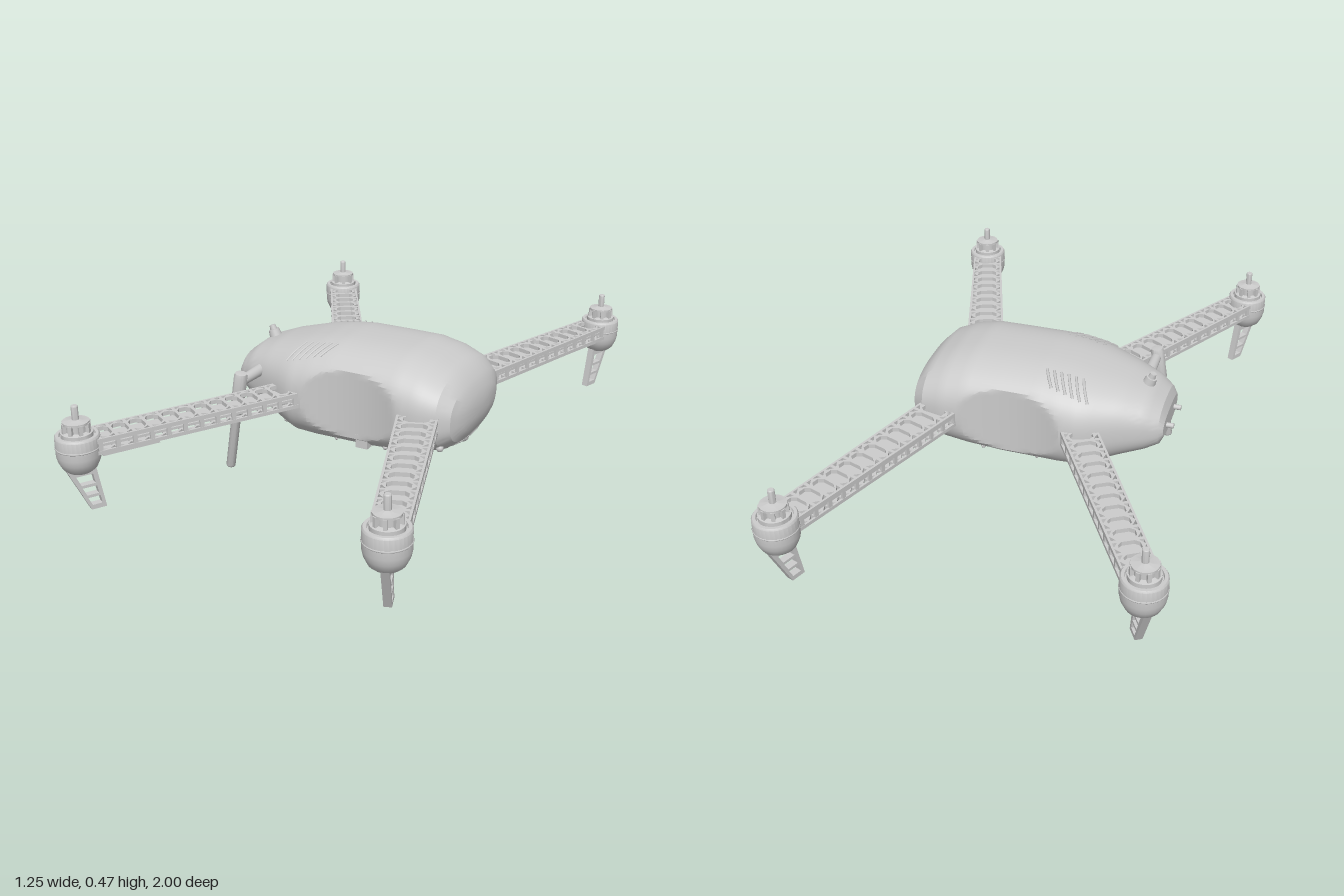
import * as THREE from 'three';
import { toCreasedNormals } from 'three/addons/utils/BufferGeometryUtils.js';

const grey = new THREE.MeshStandardMaterial({ color: 0xcccccc });

function add(parent, name, geometry, x = 0, y = 0, z = 0) {
  const m = new THREE.Mesh(geometry, grey);
  m.name = name;
  m.position.set(x, y, z);
  parent.add(m);
  return m;
}
const V = (x, y, z = 0) => new THREE.Vector3(x, y, z);
const P = (pts) => pts.map(([x, y]) => new THREE.Vector2(x, y));

// Hull stations: x, half width, bottom, top
const stations = [
  [-0.44, 0.001, 0.284, 0.286], [-0.44, 0.115, 0.25, 0.325], [-0.425, 0.13, 0.215, 0.36],
  [-0.38, 0.155, 0.19, 0.395], [-0.3, 0.19, 0.162, 0.425], [-0.2, 0.235, 0.125, 0.45],
  [-0.17, 0.245, 0.115, 0.457], [-0.1, 0.25, 0.112, 0.47], [-0.03, 0.25, 0.112, 0.477],
  [0.1, 0.25, 0.113, 0.477], [0.22, 0.25, 0.122, 0.475], [0.3, 0.247, 0.136, 0.456],
  [0.37, 0.232, 0.16, 0.425], [0.41, 0.2, 0.19, 0.385], [0.43, 0.14, 0.225, 0.345],
  [0.438, 0.06, 0.26, 0.31], [0.439, 0.001, 0.284, 0.286],
];

// Point on a rounded section; the waist is cut back to form the side panels
function section([x, w, lo, hi], a) {
  const r = (v) => Math.sign(v) * Math.abs(v) ** (2 / 2.6);
  const limit = 0.214 + 1.1 * (x - 0.06) ** 2;
  const z = THREE.MathUtils.clamp(w * r(Math.cos(a)), -limit, limit);
  return V(x, (lo + hi) / 2 + ((hi - lo) / 2) * r(Math.sin(a)), z);
}
function stationAt(x) {
  const i = Math.max(1, stations.findIndex((s) => s[0] >= x));
  const A = stations[i - 1], B = stations[i];
  return A.map((v, k) => v + ((B[k] - v) * (x - A[0])) / (B[0] - A[0] || 1));
}
const surface = (x, a) => section(stationAt(x), a);

function hullGeometry() {
  const rows = [], N = 72, pos = [], index = [];
  stations.forEach((s, i) => {
    rows.push(s);
    const next = stations[i + 1];
    if (!next) return;
    const cuts = Math.ceil((next[0] - s[0]) / 0.02);
    for (let k = 1; k < cuts; k++) rows.push(s.map((v, c) => v + ((next[c] - v) * k) / cuts));
  });
  rows.forEach((row, i) => {
    for (let j = 0; j < N; j++) {
      pos.push(...section(row, (j / N) * Math.PI * 2).toArray());
      if (i === rows.length - 1) continue;
      const a = i * N + j, b = i * N + ((j + 1) % N);
      index.push(a, a + N, b + N, a, b + N, b);
    }
  });
  const g = new THREE.BufferGeometry();
  g.setAttribute('position', new THREE.Float32BufferAttribute(pos, 3));
  g.setIndex(index);
  return toCreasedNormals(g, 0.4);
}

const tube = (pts, r, closed = false) =>
  new THREE.TubeGeometry(new THREE.CatmullRomCurve3(pts, closed), closed ? 40 : 10, r, 6, closed);

function buildBody() {
  const body = new THREE.Group();
  body.name = 'body';
  add(body, 'hull', hullGeometry());

  // Slanted cooling slots on both shoulders
  for (const s of [1, -1])
    for (let i = 0; i < 6; i++) {
      const pts = [0, 0.33, 0.66, 1].map((t) => {
        const p = surface(-0.2 + i * 0.025 + t * 0.035, 0.68 + i * 0.03 + t * (0.5 - i * 0.03));
        return V(p.x, p.y, p.z * s);
      });
      add(body, 'shoulderVent', tube(pts, 0.005));
    }
  // Slots across the belly
  for (let i = 0; i < 7; i++)
    for (const c of [-1.25, -1.89])
      add(body, 'bellyVent', tube([-0.2, 0, 0.2].map((d) => surface(-0.15 + i * 0.022, c + d)), 0.004));

  // Camera window under the nose
  const win = [[0.35, -1.8], [0.35, -1.34], [0.395, -1.3], [0.395, -1.84]];
  add(body, 'cameraFrame', tube(win.map(([x, a]) => surface(x, a)), 0.005, true));
  add(body, 'cameraLens', new THREE.SphereGeometry(0.018, 20, 12)).position.copy(surface(0.375, -Math.PI / 2));

  // Sensors and screw heads
  for (const s of [1, -1])
    for (const [x, a, r] of [[0.37, -0.72, 0.013], [0.17, -0.85, 0.009], [-0.02, -0.9, 0.007], [-0.23, -0.9, 0.009], [0.28, -1.1, 0.009], [-0.3, -1.2, 0.008]]) {
      const p = surface(x, a);
      add(body, 'sensor', new THREE.SphereGeometry(r, 12, 8), p.x, p.y, p.z * s);
    }

  // Side latch
  add(body, 'latch', new THREE.BoxGeometry(0.045, 0.045, 0.03), 0.095, 0.168, 0.197);
  add(body, 'latchLip', new THREE.BoxGeometry(0.055, 0.008, 0.034), 0.095, 0.19, 0.198);

  // Button on the rear deck
  const button = new THREE.Group();
  button.name = 'deckButton';
  button.position.set(-0.362, 0.405, 0);
  button.rotation.z = 0.35;
  add(button, 'buttonBase', new THREE.CylinderGeometry(0.019, 0.022, 0.024, 20), 0, 0.008, 0);
  add(button, 'buttonCap', new THREE.CylinderGeometry(0.011, 0.013, 0.018, 16), 0, 0.027, 0);
  body.add(button);

  // Rear sockets
  for (const z of [-0.06, 0.055])
    add(body, 'rearSocket', new THREE.CylinderGeometry(0.009, 0.009, 0.03, 14).rotateZ(Math.PI / 2), -0.45, 0.285, z);
  return body;
}

const lathe = (pts, seg = 32) => toCreasedNormals(new THREE.LatheGeometry(P(pts), seg), 0.6);

// Flat shape in (length, width) raised to a plate
function plate(shape, thickness) {
  return new THREE.ExtrudeGeometry(shape, { depth: thickness, bevelEnabled: false }).rotateX(-Math.PI / 2);
}

function latticeShape(L, w0, w1) {
  const u0 = -0.06, u1 = L - 0.035;
  const hw = (u) => w0 + ((w1 - w0) * (u - u0)) / (u1 - u0);
  const shape = new THREE.Shape(P([[u0, -w0], [u1, -w1], [u1, w1], [u0, w0]]));
  const n = Math.round((u1 - u0) / 0.058), pitch = (u1 - u0 - 0.03) / n;
  for (let i = 0; i < n; i++) {
    const c = u0 + 0.01 + (i + 0.5) * pitch, w = hw(c), d = pitch * 0.4;
    // Elongated hexagon in the middle, a triangle pair along each edge
    shape.holes.push(new THREE.Path(P([[c - d, -w * 0.36], [c - d * 0.5, -w * 0.62], [c + d * 0.5, -w * 0.62],
      [c + d, -w * 0.36], [c + d, w * 0.36], [c + d * 0.5, w * 0.62], [c - d * 0.5, w * 0.62], [c - d, w * 0.36]])));
    for (const s of [1, -1]) {
      shape.holes.push(new THREE.Path(P([[c - d, s * w * 0.87], [c - d * 0.1, s * w * 0.87], [c - d, s * w * 0.6]])));
      shape.holes.push(new THREE.Path(P([[c + d, s * w * 0.87], [c + d * 0.1, s * w * 0.87], [c + d, s * w * 0.6]])));
    }
  }
  return { shape, n, pitch, u0, hw };
}

// Ladder-like landing leg lying in the plane of the arm
function legGeometry() {
  const edge = (t, k) => {
    const inner = -0.045 - 0.025 * t, outer = 0.05 - 0.07 * t;
    return [inner + (outer - inner) * k, 0.215 - 0.155 * t];
  };
  const shape = new THREE.Shape(P([edge(0, 0), edge(1, 0), edge(1, 1), edge(0, 1)]));
  for (const [a, b] of [[0.2, 0.42], [0.48, 0.66], [0.72, 0.9]])
    shape.holes.push(new THREE.Path(P([edge(a, 0.18), edge(b, 0.2), edge(b, 0.8), edge(a, 0.82)])));
  const depth = 0.024;
  return new THREE.ExtrudeGeometry(shape, { depth, bevelEnabled: false }).translate(0, 0, -depth / 2);
}

function buildArm(name, root, tip, w0, w1) {
  const arm = new THREE.Group();
  arm.name = name;
  const dx = tip[0] - root[0], dz = tip[1] - root[1], L = Math.hypot(dx, dz);
  arm.position.set(root[0], 0, root[1]);
  arm.rotation.y = Math.atan2(-dz, dx);

  // Truss: two lattice plates, a floor between them and posts along the edges
  const { shape, n, pitch, u0, hw } = latticeShape(L, w0, w1);
  add(arm, 'topLattice', plate(shape, 0.014), 0, 0.301, 0);
  add(arm, 'bottomLattice', plate(shape, 0.012), 0, 0.262, 0);
  const floor = new THREE.Shape(P([[u0, -w0 * 0.8], [L - 0.04, -w1 * 0.8], [L - 0.04, w1 * 0.8], [u0, w0 * 0.8]]));
  add(arm, 'armFloor', plate(floor, 0.008), 0, 0.284, 0);
  for (let i = 0; i <= n; i++)
    for (const s of [1, -1]) {
      const u = u0 + 0.01 + i * pitch;
      add(arm, 'edgePost', new THREE.BoxGeometry(0.014, 0.03, 0.008), u, 0.286, s * (hw(u) - 0.005));
    }
  add(arm, 'cableCover', new THREE.BoxGeometry(0.19, 0.016, 0.07), L - 0.16, 0.254, 0);

  // Motor pod with leg
  const pod = new THREE.Group();
  pod.name = 'motorPod';
  pod.position.x = L;
  add(pod, 'podShell', lathe([[0, 0.203], [0.04, 0.203], [0.054, 0.215], [0.066, 0.24], [0.07, 0.26], [0.07, 0.32],
    [0.066, 0.326], [0.056, 0.326], [0.054, 0.318], [0, 0.318]]));
  add(pod, 'podBand', new THREE.TorusGeometry(0.069, 0.003, 6, 36).rotateX(Math.PI / 2), 0, 0.285, 0);
  add(pod, 'landingLeg', legGeometry());

  // Motor: hub, cooling ribs, cap and shaft
  add(pod, 'motorHub', lathe([[0.05, 0.316], [0.05, 0.334], [0.034, 0.338], [0.034, 0.36], [0.042, 0.362],
    [0.042, 0.37], [0.02, 0.372], [0.011, 0.375], [0.011, 0.418], [0.009, 0.421], [0, 0.421]]));
  for (let i = 0; i < 8; i++) {
    const a = (i / 8) * Math.PI * 2;
    const rib = add(pod, 'motorRib', new THREE.BoxGeometry(0.014, 0.036, 0.012), Math.cos(a) * 0.038, 0.348, Math.sin(a) * 0.038);
    rib.rotation.y = -a;
  }
  arm.add(pod);
  return arm;
}

function buildAntenna() {
  const antenna = new THREE.Group();
  antenna.name = 'antenna';
  add(antenna, 'antennaMount', new THREE.CylinderGeometry(0.017, 0.021, 0.14, 20).rotateX(Math.PI / 2), -0.325, 0.335, 0.215);
  const rod = new THREE.Group();
  rod.name = 'antennaRod';
  rod.position.set(-0.383, 0.004, 0.288);
  rod.rotation.z = -0.165;
  add(rod, 'rod', lathe([[0, 0], [0.013, 0.001], [0.016, 0.006], [0.0165, 0.23], [0.023, 0.25], [0.023, 0.355],
    [0.02, 0.366], [0, 0.368]], 20));
  antenna.add(rod);
  return antenna;
}

export function createModel() {
  const model = new THREE.Group();
  model.name = 'quadcopter';
  model.add(buildBody(), buildAntenna());
  for (const [side, s] of [['left', 1], ['right', -1]]) {
    model.add(buildArm(side + 'NoseArm', [0.305, 0.22 * s], [0.55, 0.927 * s], 0.07, 0.055));
    model.add(buildArm(side + 'TailArm', [-0.18, 0.22 * s], [-0.555, 0.857 * s], 0.062, 0.054));
  }
  return model;
}
